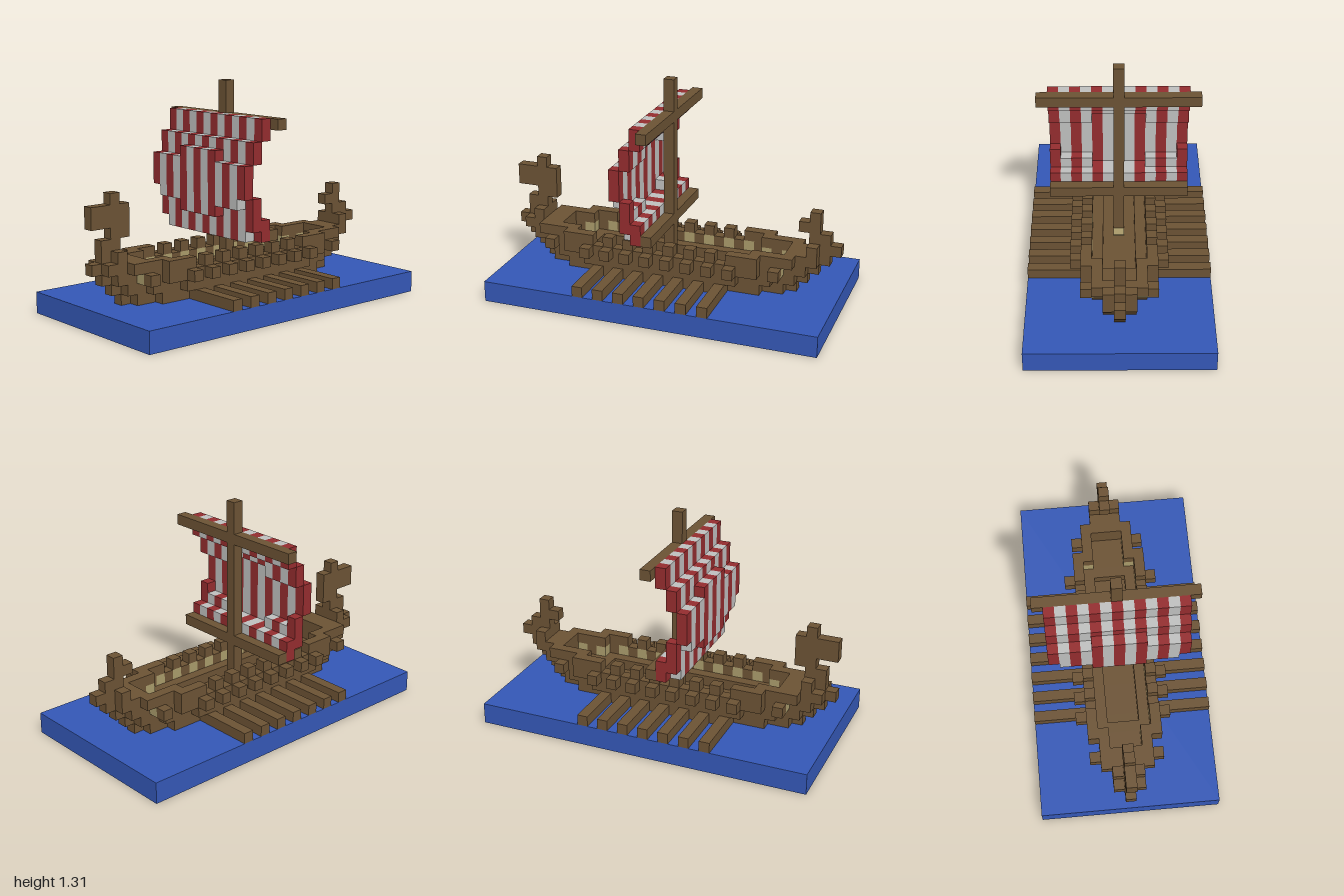
import * as THREE from 'three';
import { mergeGeometries } from 'three/addons/utils/BufferGeometryUtils.js';

const V = 0.0625; // block size

// Box covering inclusive block ranges: i along x (0..31), j up, k along z (centred on 0)
function block(i0, i1, j0, j1, k0, k1) {
  const g = new THREE.BoxGeometry((i1 - i0 + 1) * V, (j1 - j0 + 1) * V, (k1 - k0 + 1) * V);
  g.translate(-1 + (i0 + i1 + 1) * V / 2, (j0 + j1 + 1) * V / 2, (k0 + k1) * V / 2);
  return g;
}

// Hull half width at the rail, then narrowed towards the keel
function railWidth(i) {
  if (i < 0 || i > 30) return -1;
  if (i < 1 || i > 29) return 0;
  if (i < 3 || i > 27) return 1;
  if (i < 6 || i > 24) return 2;
  return 3;
}
function hullWidth(i, j) {
  const s = 5 - j;
  return Math.min(railWidth(i - s), railWidth(i + s));
}

export function createModel() {
  const model = new THREE.Group();
  model.name = 'longship';
  const mat = (name, color) => {
    const m = new THREE.MeshStandardMaterial({ color });
    m.name = name;
    return m;
  };
  const wood = mat('wood', 0x6b5234);
  const red = mat('sail red', 0x932c2e);
  const white = mat('sail white', 0xbebfbe);
  const blue = mat('water blue', 0x3457b5);
  const tan = mat('pale tan', 0xa89a6a);
  const add = (name, material, parts) => {
    const mesh = new THREE.Mesh(mergeGeometries(parts), material);
    mesh.name = name;
    model.add(mesh);
  };

  add('water', blue, [block(0, 31, 0, 1, -8, 8)]);

  // Hull layers: solid ends, open middle with deck and central channel
  const hull = [];
  const shields = [];
  const shieldBacks = [];
  for (let i = 0; i <= 30; i++) {
    const open = i >= 5 && i <= 26;
    const inner = Math.min(hullWidth(i, 4), hullWidth(i, 5));
    const paired = i % 2 === 0 && i >= 4 && i <= 26;
    for (let j = 2; j <= 5; j++) {
      const w = hullWidth(i, j);
      if (w < 0) continue;
      if (j === 5 && i >= 9 && i <= 21 && i % 2 === 1) continue; // rail notches
      let hole = -1; // half width of the opening
      if (j >= 4 && open) hole = inner - 1;
      if (j === 3 && i >= 8 && i <= 22) hole = 1;
      const outer = j === 4 && paired ? w - 1 : w;
      if (hole < 0) hull.push(block(i, i, j, j, -outer, outer));
      else if (outer > hole) {
        hull.push(block(i, i, j, j, hole + 1, outer), block(i, i, j, j, -outer, -hole - 1));
      }
      if (j === 4 && paired) {
        for (const s of [-1, 1]) {
          shields.push(block(i, i, 4, 4, s * (w + 1), s * (w + 1)));
          shieldBacks.push(block(i, i, 4, 4, s * w, s * w));
        }
      }
    }
  }
  add('hull', wood, hull);
  add('shields', wood, shields);
  add('shieldBacks', tan, shieldBacks);

  // Oars on both sides
  const oars = [];
  for (let i = 9; i <= 21; i += 2) oars.push(block(i, i, 2, 2, 4, 8), block(i, i, 2, 2, -8, -4));
  add('oars', wood, oars);

  // Bow neck and carved head
  add('bowHead', wood, [
    block(2, 2, 6, 6, -1, 1), block(1, 1, 6, 6, 0, 0), block(1, 2, 7, 7, 0, 0),
    block(2, 3, 8, 8, 0, 0), block(0, 3, 9, 10, 0, 0), block(2, 2, 11, 11, 0, 0),
  ]);

  // Curled stern tail
  add('sternTail', wood, [
    block(29, 29, 6, 6, -1, 1), block(30, 31, 6, 6, 0, 0), block(29, 30, 7, 7, 0, 0),
    block(28, 29, 8, 8, 0, 0), block(29, 29, 9, 9, 0, 0),
  ]);

  // Mast, yards and the pale plate at the mast foot
  add('mast', wood, [block(15, 15, 2, 20, 0, 0)]);
  add('yards', wood, [block(15, 15, 17, 17, -7, 7), block(15, 15, 7, 7, -6, 6)]);
  const plate = new THREE.BoxGeometry(V, 0.008, V);
  plate.translate(V / 2, 3 * V + 0.004, 0);
  add('mastFootPlate', tan, [plate]);

  // Striped sail: each strip bellies forward, deepest in the middle
  const strips = { red: [], white: [] };
  for (let k = -6; k <= 6; k++) {
    const a = Math.abs(k);
    const top = a <= 2 ? 14 : 13;
    const bottom = a === 6 ? 11 : a >= 3 ? 10 : 9;
    const foot = a === 6 ? 8 : 7;
    strips[a % 2 ? 'white' : 'red'].push(
      block(14, 14, 16, 17, k, k),
      block(13, 13, top + 1, 15, k, k),
      block(12, 12, bottom, top, k, k),
      block(13, 13, foot, bottom - 1, k, k),
      block(14, 14, 7, 8, k, k),
    );
  }
  add('sailRedStripes', red, strips.red);
  add('sailWhiteStripes', white, strips.white);

  return model;
}
